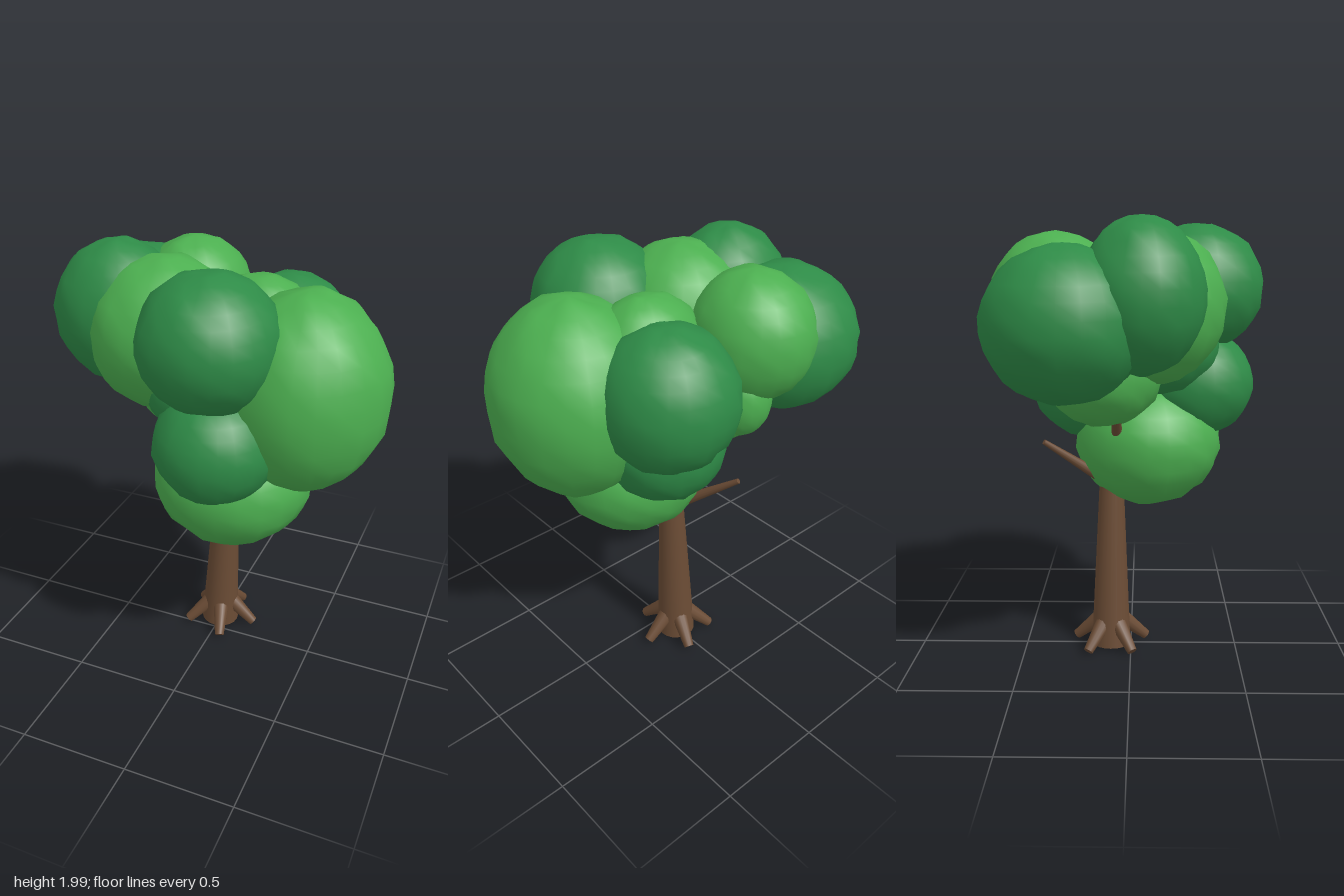
import * as THREE from 'three';
import { mergeVertices } from 'three/addons/utils/BufferGeometryUtils.js';

const paint = (name, color) => Object.assign(new THREE.MeshStandardMaterial({ color }), { name });

// Tapered round limb between two points
function limb(name, a, b, ra, rb, material, sides = 12) {
  const from = new THREE.Vector3(...a), to = new THREE.Vector3(...b);
  const dir = to.clone().sub(from);
  const mesh = new THREE.Mesh(new THREE.CylinderGeometry(rb, ra, dir.length(), sides), material);
  mesh.position.copy(from).add(to).multiplyScalar(0.5);
  mesh.quaternion.setFromUnitVectors(new THREE.Vector3(0, 1, 0), dir.normalize());
  mesh.name = name;
  return mesh;
}

// Lumpy ellipsoid of leaves, smooth shaded
function leafBall(name, center, radii, material, seed) {
  let geo = new THREE.SphereGeometry(1, 22, 15);
  geo.deleteAttribute('uv');
  geo.deleteAttribute('normal');
  geo = mergeVertices(geo, 1e-4);
  const p = geo.attributes.position, v = new THREE.Vector3();
  for (let i = 0; i < p.count; i++) {
    v.fromBufferAttribute(p, i);
    const bump = Math.sin(11 * v.x + seed) * Math.sin(12 * v.y + 2 * seed) + Math.sin(12 * v.z + 3 * seed) * Math.cos(10 * v.x - seed);
    v.multiplyScalar(1 + 0.016 * bump);
    p.setXYZ(i, v.x * radii[0], v.y * radii[1], v.z * radii[2]);
  }
  geo.computeVertexNormals();
  const mesh = new THREE.Mesh(geo, material);
  mesh.position.set(...center);
  mesh.name = name;
  return mesh;
}

export function createModel() {
  const tree = new THREE.Group();
  tree.name = 'tree';
  const bark = paint('bark', 0x6b4c35);
  const light = paint('lightLeaves', 0x4caf50);
  const dark = paint('darkLeaves', 0x2e8b47);

  // Trunk and branches
  tree.add(limb('trunk', [-0.008, 0.015, -0.095], [0.033, 0.95, -0.09], 0.092, 0.05, bark, 20));
  tree.add(limb('backBranch', [0.03, 0.8, -0.1], [-0.1, 1.02, -0.39], 0.03, 0.012, bark));
  tree.add(limb('sideBranch', [0.02, 0.88, -0.06], [-0.28, 1.2, -0.06], 0.03, 0.02, bark));

  // Five roots around the base
  for (let i = 0; i < 5; i++) {
    const a = (i * Math.PI * 2) / 5, c = Math.cos(a), s = Math.sin(a);
    tree.add(limb('root', [0.05 * c, 0.135, -0.095 + 0.05 * s],
      [0.175 * c, 0.026, -0.095 + 0.175 * s], 0.04, 0.023, bark));
  }

  // Crown: name, centre, radii, colour
  const crown = [
    ['leftLeaves', [0.43, 1.45, 0.06], [0.36, 0.43, 0.37], light],
    ['frontTopLeaves', [0.1, 1.7, 0.3], [0.295, 0.285, 0.3], dark],
    ['frontLowerLeaves', [0.13, 1.26, 0.3], [0.265, 0.25, 0.27], dark],
    ['bottomLeaves', [0.12, 0.99, 0.08], [0.355, 0.3, 0.34], light],
    ['rightTopLeaves', [-0.42, 1.68, 0.05], [0.29, 0.315, 0.26], dark],
    ['middleTopLeaves', [-0.19, 1.63, 0.09], [0.33, 0.33, 0.32], light],
    ['rightBackLeaves', [-0.45, 1.57, -0.26], [0.34, 0.32, 0.34], dark],
    ['backTopLeaves', [-0.22, 1.66, -0.31], [0.26, 0.28, 0.28], light],
    ['backLeftLeaves', [0.24, 1.52, -0.3], [0.295, 0.305, 0.3], dark],
    ['backLowerLeaves', [0.17, 1.26, -0.2], [0.27, 0.26, 0.27], dark],
    ['underLeaves', [-0.17, 1.35, -0.12], [0.25, 0.24, 0.26], light],
    ['smallBackLeaves', [-0.12, 1.42, -0.36], [0.13, 0.17, 0.13], light],
    ['innerTopLeaves', [0.17, 1.6, -0.1], [0.26, 0.27, 0.22], light],
    ['innerLeaves', [0.01, 1.44, 0.15], [0.25, 0.22, 0.25], dark],
  ];
  crown.forEach(([name, center, radii, material], i) =>
    tree.add(leafBall(name, center, radii, material, 1 + i * 1.7)));

  return tree;
}
